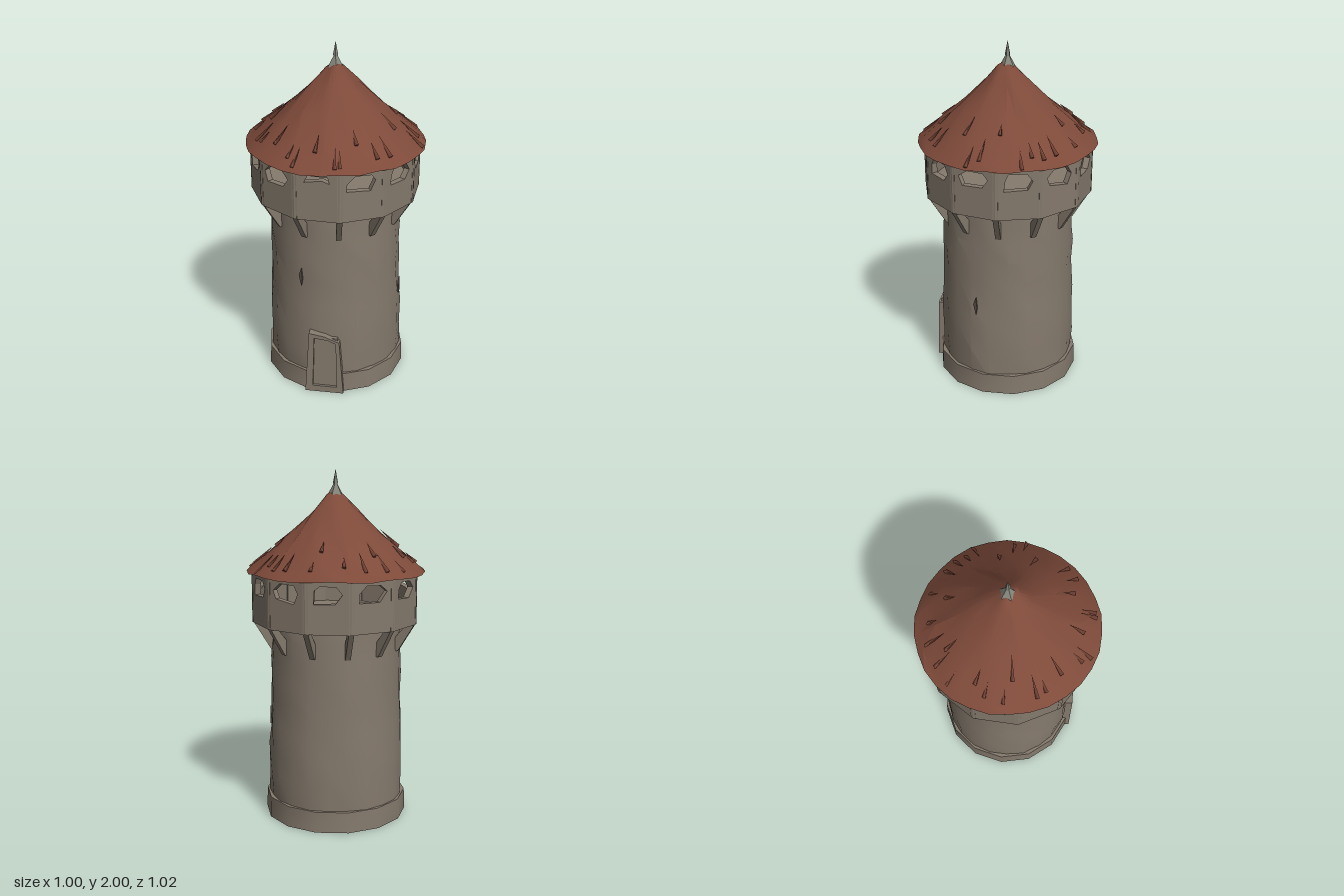
import * as THREE from 'three';
import { toCreasedNormals } from 'three/addons/utils/BufferGeometryUtils.js';

const stone = new THREE.MeshStandardMaterial({ color: 0x857a6d });
stone.name = 'stone';
const tile = new THREE.MeshStandardMaterial({ color: 0x7e4a3a, side: THREE.DoubleSide });
tile.name = 'roof tile';
const metal = new THREE.MeshStandardMaterial({ color: 0x86867c });
metal.name = 'spire metal';
const shade = new THREE.MeshStandardMaterial({ color: 0x564d44 });
shade.name = 'slit stone';

// seeded random, -1..1
let seed = 7;
const rnd = () => {
  seed = (seed * 16807) % 2147483647;
  return (seed / 2147483647) * 2 - 1;
};

function add(parent, name, geometry, material) {
  const mesh = new THREE.Mesh(geometry, material);
  mesh.name = name;
  parent.add(mesh);
  return mesh;
}

const lathe = (points, sides) =>
  new THREE.LatheGeometry(points.map(([r, y]) => new THREE.Vector2(r, y)), sides);

const shape = (points) => new THREE.Shape(points.map(([x, y]) => new THREE.Vector2(x, y)));

// weathered surface: push vertices in and out along the radius, and up and down
function weather(geometry, radial, vertical, freq, crease) {
  const p = geometry.attributes.position;
  for (let i = 0; i < p.count; i++) {
    const x = p.getX(i), y = p.getY(i), z = p.getZ(i);
    const n = Math.sin(x * freq + y * 9) * Math.cos(z * freq * 1.3 - y * 13);
    const m = Math.sin(z * freq * 0.8 + x * freq * 1.1 + y * 17);
    const r = Math.hypot(x, z);
    const k = r > 0.01 ? 1 + (radial * n) / r : 1;
    p.setXYZ(i, x * k, y + vertical * m, z * k);
  }
  return toCreasedNormals(geometry, crease);
}

export function createModel() {
  const tower = new THREE.Group();
  tower.name = 'tower';

  // plinth
  add(tower, 'plinth', toCreasedNormals(new THREE.CylinderGeometry(0.408, 0.412, 0.12, 14), 0.5), stone)
    .position.y = 0.06;

  // round shaft
  const shaft = [[0.388, 0.1], [0.39, 0.25], [0.388, 0.4], [0.382, 0.55], [0.376, 0.7],
    [0.377, 0.83], [0.373, 0.95], [0.37, 1.06], [0.37, 1.17]];
  add(tower, 'shaft', weather(lathe(shaft, 22), 0.007, 0.02, 17, 0.45), stone);

  // doorway, turned slightly off the front
  const door = new THREE.Group();
  door.name = 'doorway';
  door.rotation.y = -0.2;
  tower.add(door);
  const frame = shape([[-0.115, 0], [0.11, 0], [0.085, 0.35], [0, 0.385], [-0.09, 0.4]]);
  frame.holes.push(shape([[-0.07, 0.04], [-0.06, 0.37], [0.02, 0.36], [0.065, 0.34], [0.07, 0.04]]));
  add(door, 'doorFrame', new THREE.ExtrudeGeometry(frame, { depth: 0.07, bevelEnabled: false }), stone)
    .position.z = 0.348;
  add(door, 'doorPanel', new THREE.BoxGeometry(0.15, 0.33, 0.05), stone).position.set(0, 0.205, 0.379);

  // narrow slits
  for (const [angle, y, r] of [[-0.58, 0.735, 0.379], [1.22, 0.555, 0.385]]) {
    const pivot = new THREE.Group();
    pivot.rotation.y = angle;
    tower.add(pivot);
    const slit = shape([[-0.012, 0.01], [0.004, -0.055], [0.012, -0.01], [0.005, 0.055]]);
    add(pivot, 'slit', new THREE.ExtrudeGeometry(slit, { depth: 0.008, bevelEnabled: false }), shade)
      .position.set(0, y, r);
  }

  // gallery floor
  add(tower, 'galleryFloor', toCreasedNormals(new THREE.CylinderGeometry(0.472, 0.472, 0.03, 12), 0.3), stone)
    .position.y = 1.165;

  const R = 0.48, apothem = R * Math.cos(Math.PI / 12), half = R * Math.sin(Math.PI / 12);
  const strut = shape([[0.355, 0.99], [0.378, 0.99], [0.474, 1.15], [0.43, 1.15], [0.355, 1.06]]);
  for (let i = 0; i < 12; i++) {
    // bay with an irregular opening
    const bay = new THREE.Group();
    bay.name = 'galleryBay';
    bay.rotation.y = (i + 0.5) * Math.PI / 6;
    tower.add(bay);
    const wall = shape([[-half, 1.148], [half, 1.148], [half, 1.44], [-half, 1.44]]);
    const j = () => rnd() * 0.012;
    const low = i === 11 ? 1.375 : 1.315;
    wall.holes.push(shape([[-0.075 + j(), low + j()], [-0.078 + j(), 1.375 + j()], [-0.045 + j(), 1.408],
      [0.05 + j(), 1.405], [0.078 + j(), 1.37 + j()], [0.04 + j(), low + j()]]));
    add(bay, 'galleryWall', new THREE.ExtrudeGeometry(wall, { depth: 0.035, bevelEnabled: false }), stone)
      .position.z = apothem - 0.035;

    // corner post and strut
    const corner = new THREE.Group();
    corner.name = 'galleryCorner';
    corner.rotation.y = i * Math.PI / 6;
    tower.add(corner);
    add(corner, 'post', new THREE.BoxGeometry(0.028, 0.29, 0.045), stone).position.set(0, 1.294, 0.455);
    const bracket = add(corner, 'strut',
      new THREE.ExtrudeGeometry(strut, { depth: 0.03, bevelEnabled: false }), stone);
    bracket.rotation.y = -Math.PI / 2;
    bracket.position.x = 0.015;
  }

  // conical roof with a ragged eave
  const slope = [[0.506, 1.432], [0.475, 1.458], [0.38, 1.537], [0.25, 1.652], [0.12, 1.778], [0.05, 1.855], [0, 1.89]];
  add(tower, 'roof', weather(lathe(slope, 30), 0.008, 0.006, 37, 0.4), tile);

  // raised tile splinters
  for (let i = 0; i < 30; i++) {
    const pivot = new THREE.Group();
    pivot.rotation.y = (i + rnd() * 0.5) * Math.PI / 15;
    tower.add(pivot);
    const t = 0.12 + 0.12 * (rnd() + 1) * (i % 3 === 0 ? 1.3 : 0.5);
    const length = 0.11 + 0.04 * rnd();
    const splinter = add(pivot, 'tileSplinter', new THREE.ConeGeometry(0.014, length, 3), tile);
    splinter.position.set(0.504 - 0.46 * t, 1.432 + 0.42 * t, 0);
    splinter.rotation.z = 0.82;
  }

  // spire
  const spire = [[0.045, 1.858], [0.013, 1.915], [0.014, 1.928], [0, 2]];
  add(tower, 'spire', toCreasedNormals(lathe(spire, 5), 0.3), metal);

  return tower;
}
